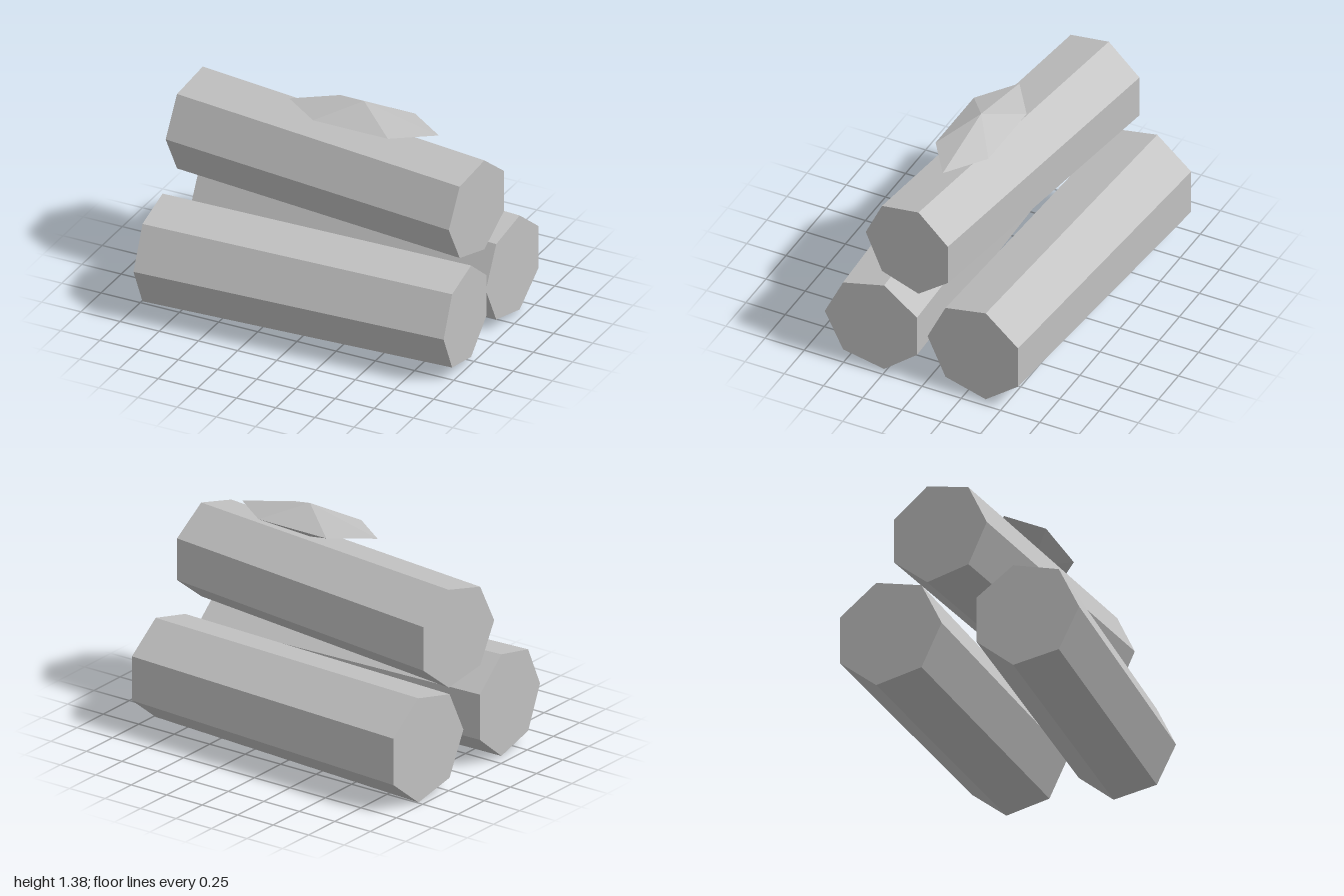
import * as THREE from 'three';

const stone = new THREE.MeshStandardMaterial({ color: 0xc0c0c0 });
stone.name = 'lightGrey';

// Hard-edged mesh: every face keeps its own normal
function facetedMesh(name, geometry) {
  const flat = geometry.toNonIndexed();
  flat.computeVertexNormals();
  const mesh = new THREE.Mesh(flat, stone);
  mesh.name = name;
  return mesh;
}

// Slightly tapered seven-sided log between two end centres, one corner facing +z
function log(name, left, right, rLeft, rRight) {
  const a = new THREE.Vector3(...left);
  const b = new THREE.Vector3(...right);
  const dir = b.clone().sub(a);
  const geometry = new THREE.CylinderGeometry(rRight, rLeft, dir.length(), 7);
  geometry.rotateZ(-Math.PI / 2);
  const mesh = facetedMesh(name, geometry);
  mesh.position.copy(a).add(b).multiplyScalar(0.5);
  mesh.rotation.y = Math.atan2(-dir.z, dir.x);
  return mesh;
}

export function createModel() {
  const model = new THREE.Group();
  model.name = 'logPile';

  // Two logs on the ground and one laid across them
  model.add(
    log('frontLog', [-0.945, 0.323, 0.395], [0.985, 0.323, 0.318], 0.32, 0.303),
    log('backLog', [-0.97, 0.322, -0.42], [0.96, 0.322, -0.318], 0.328, 0.312),
    log('topLog', [-0.964, 0.904, -0.122], [0.952, 0.904, 0.108], 0.308, 0.295)
  );

  // Flat six-sided double pyramid resting on the top log
  const tuft = new THREE.SphereGeometry(1, 6, 2);
  tuft.scale(0.477, 0.103, 0.194);
  const tuftMesh = facetedMesh('mossTuft', tuft);
  tuftMesh.position.set(0.19, 1.277, 0.038);
  model.add(tuftMesh);

  return model;
}
